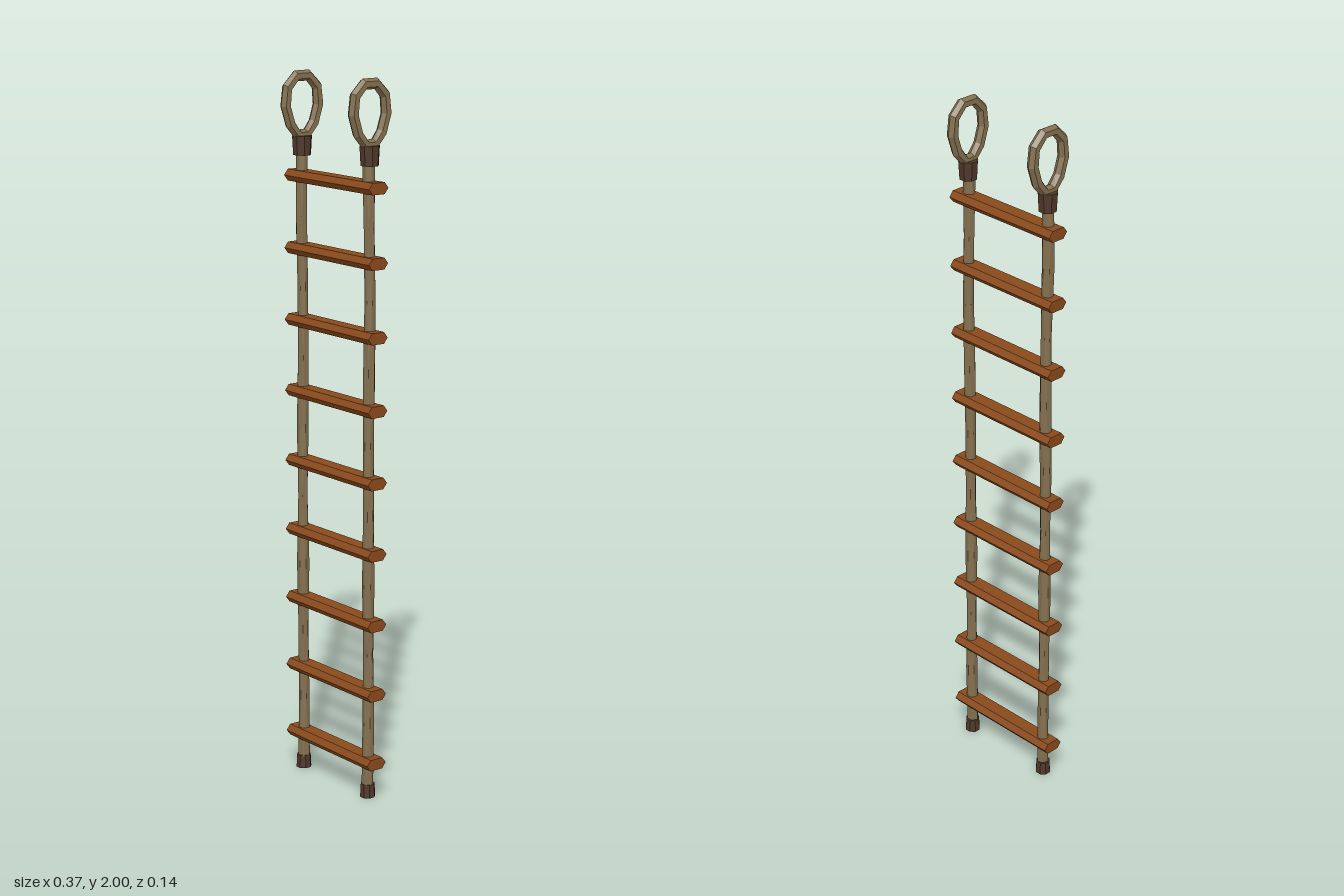
import * as THREE from 'three';

const RAIL_X = 0.148;

function makeMaterial(name, color) {
  const m = new THREE.MeshStandardMaterial({ color, flatShading: true });
  m.name = name;
  return m;
}

// Slightly crooked, twisting rope running from foot to collar
function ropeGeometry(seed) {
  const y0 = 0.02, y1 = 1.8, steps = 9;
  const g = new THREE.CylinderGeometry(0.016, 0.016, y1 - y0, 6, steps, true);
  g.translate(0, (y0 + y1) / 2, 0);
  const p = g.attributes.position;
  for (let i = 0; i < p.count; i++) {
    const k = Math.round(((p.getY(i) - y0) / (y1 - y0)) * steps);
    const twist = k * 0.5 + seed;
    const s = 1 + 0.1 * Math.sin(k * 2.3 + seed);
    const x = p.getX(i) * s, z = p.getZ(i) * s;
    p.setX(i, x * Math.cos(twist) - z * Math.sin(twist) + 0.002 * Math.sin(k * 1.9 + seed));
    p.setZ(i, x * Math.sin(twist) + z * Math.cos(twist) + 0.002 * Math.cos(k * 1.4 + seed));
  }
  g.computeVertexNormals();
  return g;
}

// Egg-shaped eye of rope: a torus with its ring pulled to a point at the bottom
function loopGeometry() {
  const R = 0.1;
  const g = new THREE.TorusGeometry(R, 0.0155, 6, 10);
  const p = g.attributes.position;
  for (let i = 0; i < p.count; i++) {
    const a = Math.atan2(p.getY(i), p.getX(i));
    const d = Math.hypot(p.getX(i), p.getY(i)) - R;
    const c = Math.cos(a), s = Math.sin(a);
    p.setX(i, 0.055 * c * (1 + 0.2 * s) + d * c);
    p.setY(i, 1.905 + 0.084 * s + d * s);
  }
  g.rotateY(Math.PI / 2);
  g.computeVertexNormals();
  return g;
}

// Flattened six-sided rung, lying along x
function rungGeometry() {
  const w = 0.0325, f = 0.02, h = 0.016, len = 0.374;
  const shape = new THREE.Shape([[w, 0], [f, h], [-f, h], [-w, 0], [-f, -h], [f, -h]]
    .map(([x, y]) => new THREE.Vector2(x, y)));
  const g = new THREE.ExtrudeGeometry(shape, { depth: len, bevelEnabled: false });
  g.translate(0, 0, -len / 2);
  g.rotateY(Math.PI / 2);
  return g;
}

// Eight-sided leather sleeve between two heights
function sleeveGeometry(rTop, rBottom, y0, y1) {
  const g = new THREE.CylinderGeometry(rTop, rBottom, y1 - y0, 8);
  g.rotateY(Math.PI / 8);
  g.translate(0, (y0 + y1) / 2, 0);
  return g;
}

export function createModel() {
  const rope = makeMaterial('rope', 0x84704f);
  const wood = makeMaterial('wood', 0x8a4a1c);
  const leather = makeMaterial('leather', 0x51382a);
  const model = new THREE.Group();
  model.name = 'ropeLadder';

  const add = (parent, name, geometry, material) => {
    const mesh = new THREE.Mesh(geometry, material);
    mesh.name = name;
    parent.add(mesh);
    return mesh;
  };

  // Side ropes with eye, collar and end cap
  for (const side of [-1, 1]) {
    const rail = new THREE.Group();
    rail.name = side > 0 ? 'leftRail' : 'rightRail';
    rail.position.x = side * RAIL_X;
    add(rail, 'sideRope', ropeGeometry(side > 0 ? 0.4 : 1.3), rope);
    add(rail, 'hangingLoop', loopGeometry(), rope);
    add(rail, 'collar', sleeveGeometry(0.028, 0.025, 1.77, 1.823), leather);
    add(rail, 'endCap', sleeveGeometry(0.02, 0.022, 0, 0.038), leather);
    model.add(rail);
  }

  // Rungs
  const rung = rungGeometry();
  for (let i = 0; i < 9; i++) {
    add(model, 'rung' + (i + 1), rung, wood).position.y = 0.105 + i * 0.201;
  }
  return model;
}
